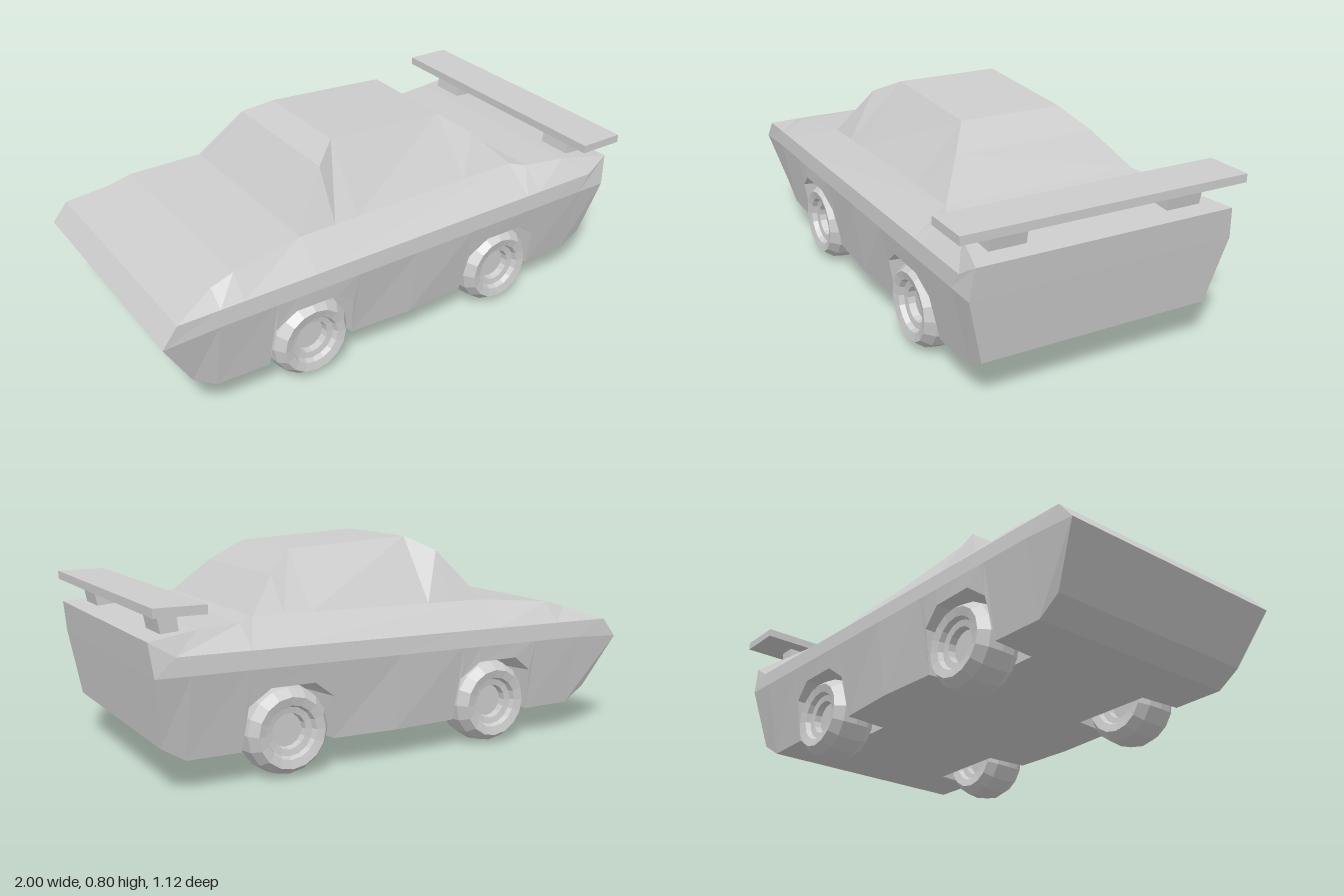
import * as THREE from 'three';

const material = new THREE.MeshStandardMaterial({ color: 0xcccccc, flatShading: true, side: THREE.DoubleSide });
const axles = [-0.4, 0.48];
const wellZ = 0.28;

// Collects quads, each mirrored across z = 0 on request
function panelBuilder() {
  const pos = [];
  const quad = (a, b, c, d) => pos.push(...a, ...b, ...c, ...a, ...c, ...d);
  const flip = ([x, y, z]) => [x, y, -z];
  return {
    // Skin between an upper and a lower line, on both sides of the car
    strip(upper, lower) {
      for (let i = 0; i < upper.length - 1; i++) {
        const q = [lower[i], lower[i + 1], upper[i + 1], upper[i]];
        quad(...q);
        quad(...q.map(flip).reverse());
      }
    },
    // Skin that spans the car from +z to -z along a line
    across(line) {
      for (let i = 0; i < line.length - 1; i++) {
        const [a, b] = [line[i], line[i + 1]];
        quad(a, b, flip(b), flip(a));
      }
    },
    mesh(name) {
      const g = new THREE.BufferGeometry();
      g.setAttribute('position', new THREE.Float32BufferAttribute(pos, 3));
      g.computeVertexNormals();
      return named(g, name);
    },
  };
}

function named(geometry, name) {
  const m = new THREE.Mesh(geometry, material);
  m.name = name;
  return m;
}

// Lines running along the flank
const belt = (x) => [x, 0.455 + (x + 0.94) * 0.016, 0.495 + (x + 0.94) * 0.011];
const widest = (x) => [x, 0.39 + (x + 1) * 0.015, 0.5 + (x + 1) * 0.01];

// Wheel arch outline around an axle
const archOutline = (cx) => [
  [-0.18, 0.115, 0.455], [-0.165, 0.28, 0.488], [-0.085, 0.34, 0.5],
  [0.085, 0.34, 0.5], [0.165, 0.28, 0.488], [0.18, 0.115, 0.455],
].map(([x, y, z]) => [cx + x, y, z]);

const tailTop = [1, 0.54, 0.505], tailMid = [0.985, 0.42, 0.52], tailLow = [0.95, 0.17, 0.455];
const noseTip = [-1, 0.38, 0.497], noseLow = [-0.88, 0.175, 0.45];

function makeBody() {
  const b = panelBuilder();
  const shoulder = [
    belt(-0.94), [-0.78, 0.51, 0.43], [-0.69, 0.536, 0.425], [-0.4, 0.56, 0.388],
    [0.58, 0.573, 0.388], [0.64, 0.56, 0.42], [0.81, 0.556, 0.45], tailTop,
  ];
  b.strip(shoulder, [...[-0.94, -0.78, -0.69, -0.4, 0.58, 0.64, 0.91].map(belt), tailTop]);

  // Flanks, whose lower edge follows the wheel arches
  const sill = [
    [-0.79, 0.115, 0.45], ...archOutline(axles[0]), [0.04, 0.115, 0.468],
    ...archOutline(axles[1]), [0.86, 0.115, 0.45],
  ];
  const xs = sill.map((p) => p[0]);
  const mid = [noseTip, ...xs.map(widest), tailMid];
  const top = [belt(-0.94), ...xs.slice(0, -1).map(belt), belt(0.91), tailTop];
  b.strip(top, mid);
  b.strip(mid, [noseLow, ...sill, tailLow]);

  // Deck, tail, floor with wheel cutouts, and nose
  const floor = [];
  for (const cx of [...axles].reverse()) {
    for (const [dx, z] of [[0.18, 0.455], [0.165, wellZ], [-0.165, wellZ], [-0.18, 0.455]]) {
      floor.push([cx + dx, 0.115, z]);
    }
    if (cx > 0) floor.push([0.04, 0.115, 0.468]);
  }
  b.across([
    ...shoulder, tailMid, tailLow, [0.86, 0.115, 0.45], ...floor,
    [-0.79, 0.115, 0.45], noseLow, noseTip, belt(-0.94),
  ]);
  return b.mesh('body');
}

function makeWheelWells() {
  const b = panelBuilder();
  for (const cx of axles) {
    const outer = archOutline(cx);
    const inner = outer.map(([x, y]) => [cx + (x - cx) * 0.917, y > 0.2 ? y - 0.012 : y, wellZ]);
    b.strip(inner, outer);
    b.strip(inner, inner.map(([x]) => [x, 0.115, wellZ]));
  }
  return b.mesh('wheelWells');
}

function makeCabin() {
  const b = panelBuilder();
  const roofLine = [
    [-0.4, 0.56, 0.388], [-0.25, 0.752, 0.285], [-0.15, 0.805, 0.208],
    [0.35, 0.779, 0.205], [0.46, 0.7, 0.285], [0.58, 0.573, 0.388],
  ];
  b.across(roofLine);
  b.strip(roofLine, roofLine.map(([x]) => [x, 0.56 + (x + 0.4) * 0.0133, 0.388]));
  return b.mesh('cabin');
}

function makeWheel() {
  // Rounded tyre with a stepped dish on both faces
  const half = [
    [0, 0.035], [0.062, 0.035], [0.066, 0.062], [0.09, 0.066], [0.098, 0.085],
    [0.13, 0.093], [0.157, 0.055], [0.165, 0],
  ];
  const profile = [...half, ...half.slice(0, -1).reverse().map(([r, h]) => [r, -h])]
    .reverse().map(([r, h]) => new THREE.Vector2(r, h));
  return named(new THREE.LatheGeometry(profile, 16).rotateX(Math.PI / 2), 'wheel');
}

function makeSpoiler() {
  const spoiler = new THREE.Group();
  spoiler.name = 'spoiler';
  const blade = named(new THREE.BoxGeometry(0.185, 0.032, 1.12), 'spoilerBlade');
  blade.position.set(0.907, 0.64, 0);
  spoiler.add(blade);
  // Raked struts
  const side = new THREE.Shape([[0.86, 0.54], [0.925, 0.54], [0.943, 0.63], [0.873, 0.63]]
    .map(([x, y]) => new THREE.Vector2(x, y)));
  for (const z of [0.28, -0.42]) {
    const strut = named(new THREE.ExtrudeGeometry(side, { depth: 0.14, bevelEnabled: false }), 'spoilerStrut');
    strut.position.z = z;
    spoiler.add(strut);
  }
  return spoiler;
}

export function createModel() {
  const car = new THREE.Group();
  car.name = 'car';
  car.add(makeBody(), makeWheelWells(), makeCabin(), makeSpoiler());
  for (const x of axles) {
    for (const side of [1, -1]) {
      const wheel = makeWheel();
      wheel.name = (x < 0 ? 'front' : 'rear') + 'Wheel';
      wheel.position.set(x, 0.167, side * 0.398);
      car.add(wheel);
    }
  }
  return car;
}
